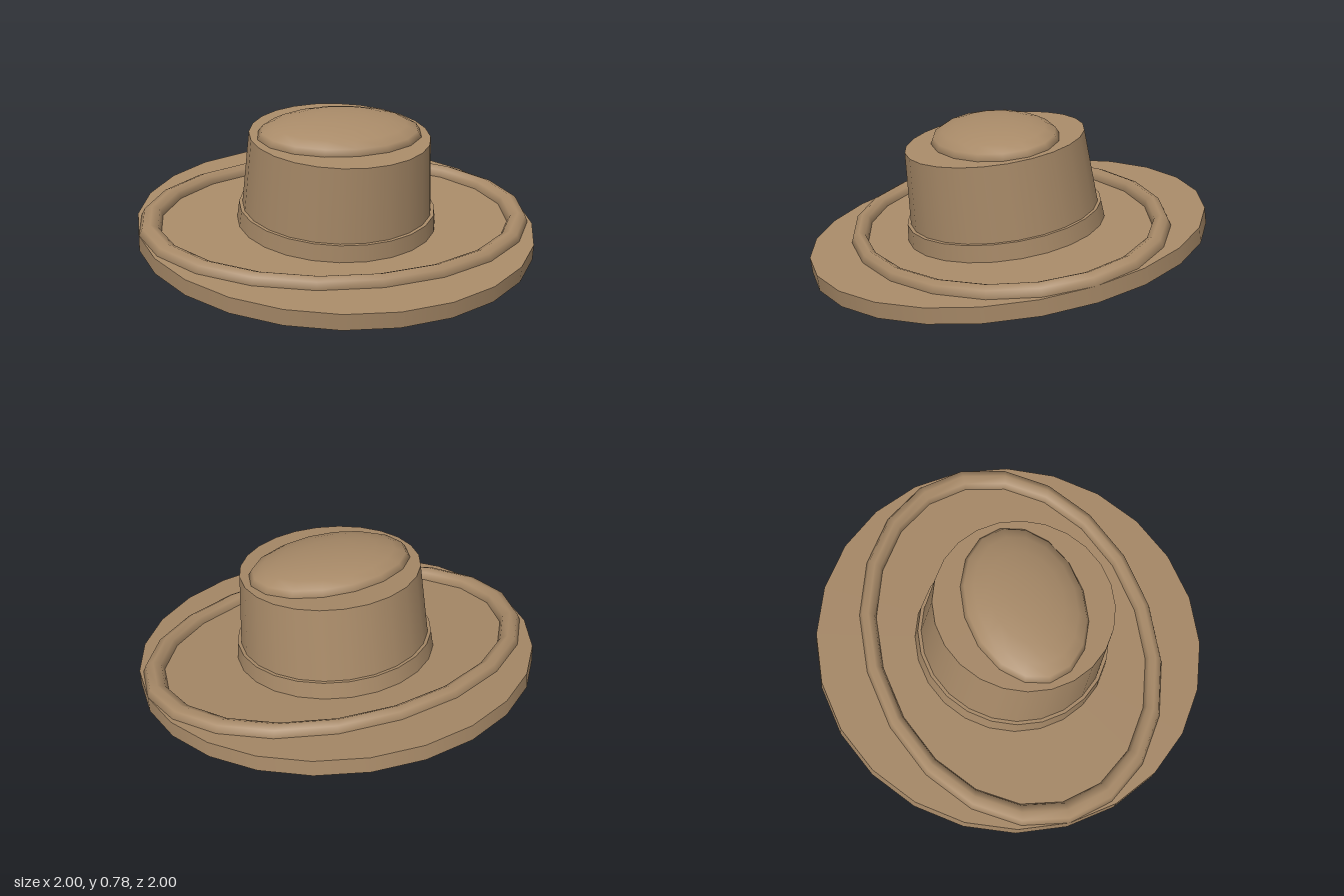
import * as THREE from 'three';

export function createModel() {
  const model = new THREE.Group();
  model.name = 'hat';
  const felt = new THREE.MeshStandardMaterial({ color: 0xa88a68 });

  // Everything shares one tilted frame: turned 40 degrees, tipped 8 degrees
  const tilted = new THREE.Group();
  tilted.name = 'tiltedHat';
  tilted.rotation.set(THREE.MathUtils.degToRad(8), THREE.MathUtils.degToRad(40), 0, 'YXZ');
  tilted.position.set(-0.004, 0.14, -0.004);
  model.add(tilted);

  const add = (name, geometry, y) => {
    const mesh = new THREE.Mesh(geometry, felt);
    mesh.name = name;
    mesh.position.y = y;
    tilted.add(mesh);
    return mesh;
  };

  // Tapered round section standing between two heights
  const section = (name, rTop, rBottom, y0, y1) =>
    add(name, new THREE.CylinderGeometry(rTop, rBottom, y1 - y0, 24), (y0 + y1) / 2);

  section('brim', 1.005, 1.005, 0, 0.08);
  section('hatBand', 0.495, 0.505, 0.06, 0.165);
  section('crown', 0.452, 0.485, 0.06, 0.54);

  // Oval rolled ring lying on the brim
  const ring = new THREE.TorusGeometry(0.95, 0.055, 8, 20);
  ring.rotateX(Math.PI / 2).scale(1, 0.94, 0.767);
  add('brimRing', ring, 0.08);

  // Oval flattened dome on top of the crown
  const dome = new THREE.SphereGeometry(1, 16, 10);
  dome.scale(0.42, 0.1, 0.305);
  add('crownDome', dome, 0.54);

  return model;
}
